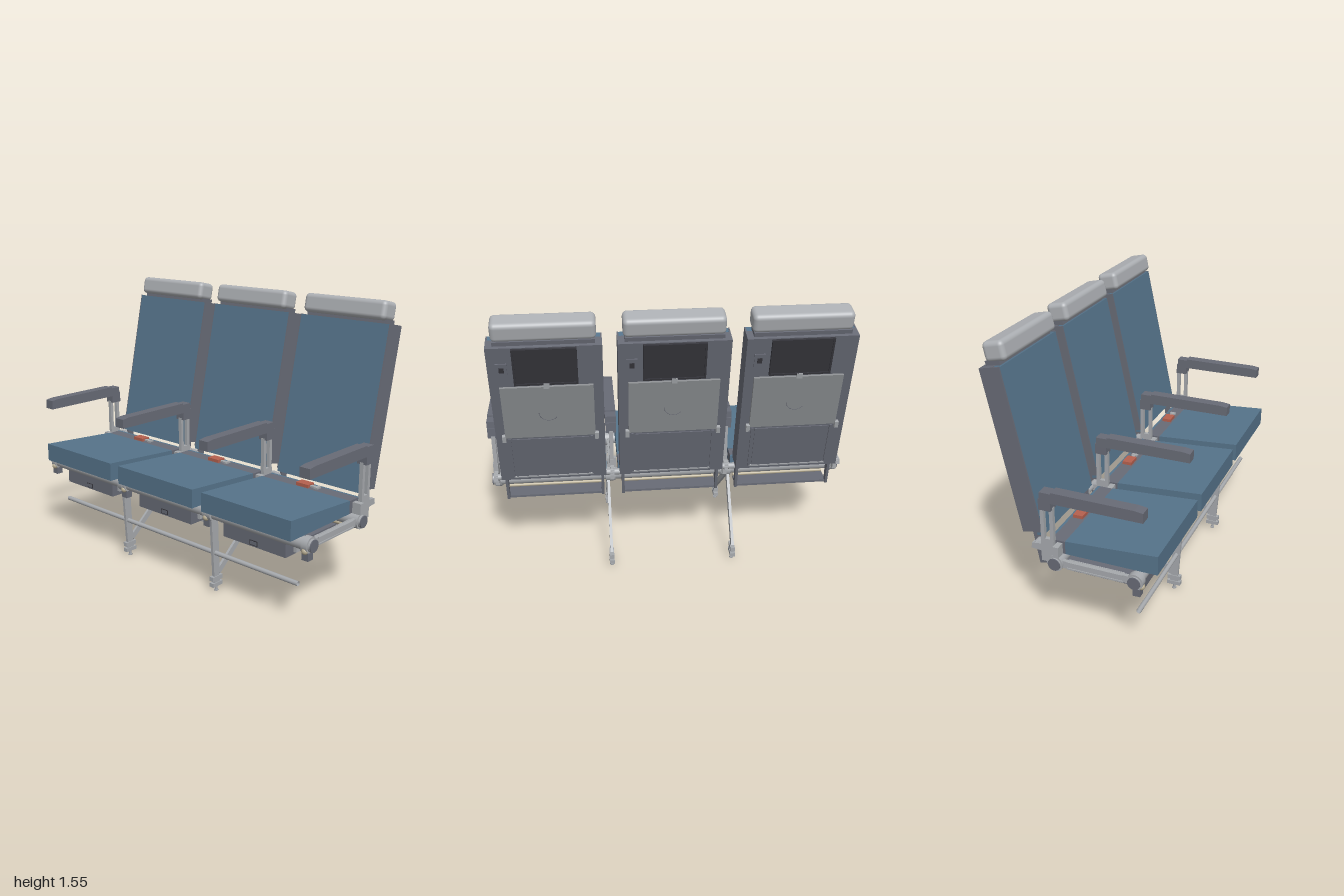
import * as THREE from 'three';
import { RoundedBoxGeometry } from 'three/addons/geometries/RoundedBoxGeometry.js';

const mat = (name, color, side = THREE.FrontSide) => {
  const m = new THREE.MeshStandardMaterial({ color, side });
  m.name = name;
  return m;
};

export function createModel() {
  const blue = mat('blue upholstery', 0x56748b);
  const shell = mat('slate plastic', 0x686b76);
  const metal = mat('light metal', 0xa6a9ad, THREE.DoubleSide);
  const pale = mat('headrest grey', 0xadb0b4);
  const trayGrey = mat('tray grey', 0x8c8f92);
  const dark = mat('dark screen', 0x36363c);
  const red = mat('red buckle', 0xb5604e);
  const beige = mat('beige rod', 0xb8ae94);

  const model = new THREE.Group();
  model.name = 'tripleSeat';

  const add = (parent, name, geo, m, x = 0, y = 0, z = 0) => {
    const mesh = new THREE.Mesh(geo, m);
    mesh.name = name;
    mesh.position.set(x, y, z);
    parent.add(mesh);
    return mesh;
  };
  const box = (p, name, m, w, h, d, x, y, z) => add(p, name, new THREE.BoxGeometry(w, h, d), m, x, y, z);
  // cylinder lying along x
  const rod = (p, name, m, r, len, x, y, z, open = false) =>
    add(p, name, new THREE.CylinderGeometry(r, r, len, 24, 1, open).rotateZ(Math.PI / 2), m, x, y, z);
  // side profile of [z, y] points, extruded across x; holes are [z, y, radius]
  const profile = (p, name, m, pts, width, x, holes = []) => {
    const s = new THREE.Shape(pts.map(([z, y]) => new THREE.Vector2(z, y)));
    for (const [z, y, r] of holes) s.holes.push(new THREE.Path().absarc(z, y, r, 0, Math.PI * 2, true));
    const g = new THREE.ExtrudeGeometry(s, { depth: width, bevelEnabled: false, curveSegments: 10 });
    return add(p, name, g.translate(0, 0, -width / 2).rotateY(-Math.PI / 2), m, x);
  };
  // flat bar between two [z, y] points
  const strut = (p, name, m, a, b, w, t, x) => {
    const dz = b[0] - a[0], dy = b[1] - a[1];
    const s = box(p, name, m, t, Math.hypot(dz, dy), w, x, (a[1] + b[1]) / 2, (a[0] + b[0]) / 2);
    s.rotation.x = Math.atan2(dz, dy);
    return s;
  };

  // reclined backrest with headrest, screen and folded tray
  function backrest(seat) {
    const b = new THREE.Group();
    b.name = 'backrest';
    b.position.set(0, 0.565, -0.155);
    b.rotation.x = -0.21;
    seat.add(b);
    box(b, 'backCushion', blue, 0.555, 0.885, 0.04, 0, 0.4425, -0.02);
    box(b, 'backShell', shell, 0.57, 0.865, 0.074, 0, 0.455, -0.077);
    for (const s of [-1, 1]) {
      box(b, 'shellEdge', shell, 0.008, 0.87, 0.04, s * 0.281, 0.452, -0.022);
      box(b, 'trayHinge', metal, 0.02, 0.04, 0.025, s * 0.242, 0.325, -0.122);
      box(b, 'pocketRib', shell, 0.012, 0.27, 0.008, s * 0.215, 0.18, -0.117);
    }
    box(b, 'headrestNeck', shell, 0.5, 0.04, 0.08, 0, 0.89, -0.055);
    add(b, 'headrest', new RoundedBoxGeometry(0.515, 0.102, 0.118, 4, 0.025), pale, 0, 0.952, -0.033);
    box(b, 'screenBezel', dark, 0.32, 0.215, 0.012, 0, 0.775, -0.117);
    for (const s of [-1, 1]) {
      box(b, 'screenRim', dark, 0.01, 0.215, 0.006, s * 0.155, 0.775, -0.125);
      box(b, 'screenRim', dark, 0.32, 0.01, 0.006, 0, 0.775 + s * 0.1025, -0.125);
    }
    box(b, 'socketPanel', shell, 0.055, 0.075, 0.008, 0.215, 0.76, -0.116);
    box(b, 'socket', dark, 0.025, 0.03, 0.006, 0.215, 0.76, -0.119);
    box(b, 'trayTable', trayGrey, 0.47, 0.325, 0.014, 0, 0.492, -0.12);
    const arc = new THREE.TorusGeometry(0.05, 0.0015, 4, 20, Math.PI * 0.8);
    add(b, 'cupRing', arc, shell, 0, 0.49, -0.127).rotation.z = Math.PI * 1.2;
    box(b, 'trayLatch', metal, 0.03, 0.03, 0.02, 0, 0.662, -0.122);
    box(b, 'pocketPanel', shell, 0.4, 0.26, 0.006, 0, 0.18, -0.116);
    box(b, 'pocketHem', metal, 0.43, 0.008, 0.008, 0, 0.045, -0.117);
  }

  // one passenger place
  function seat(x) {
    const g = new THREE.Group();
    g.name = 'seat';
    g.position.x = x;
    model.add(g);
    backrest(g);
    profile(g, 'seatCushion', blue, [[0.455, 0.49], [0.455, 0.594], [-0.035, 0.562], [-0.035, 0.49]], 0.58, 0);
    box(g, 'cushionRearFrame', shell, 0.58, 0.07, 0.075, 0, 0.525, -0.0725);
    box(g, 'cushionRearEdge', blue, 0.58, 0.07, 0.014, 0, 0.525, -0.117);

    // seat belt buckle and tongue
    box(g, 'buckle', red, 0.08, 0.018, 0.055, -0.025, 0.569, -0.075);
    box(g, 'buckleTongue', metal, 0.035, 0.008, 0.02, 0.03, 0.567, -0.075);
    box(g, 'tongueEnd', metal, 0.022, 0.01, 0.036, 0.057, 0.567, -0.075);

    // lower back supports and rear shelf
    for (const s of [-1, 1]) {
      profile(g, 'lowerBackStrut', shell,
        [[-0.175, 0.59], [-0.225, 0.59], [-0.19, 0.39], [-0.165, 0.395]], 0.015, s * 0.265);
      rod(g, 'reclinePivot', metal, 0.018, 0.06, s * 0.295, 0.53, -0.18);
      box(g, 'vestRail', beige, 0.016, 0.018, 0.26, s * 0.235, 0.403, 0.135);
      box(g, 'vestRailSupport', metal, 0.012, 0.02, 0.4, s * 0.255, 0.415, 0.14);
    }
    box(g, 'rearShelf', shell, 0.53, 0.012, 0.1, 0, 0.398, -0.13);
    rod(g, 'shelfRod', beige, 0.01, 0.53, 0, 0.41, -0.075);

    // under-seat box
    box(g, 'underSeatBox', shell, 0.41, 0.055, 0.43, -0.015, 0.3725, 0.145);
    box(g, 'underSeatBoxFront', shell, 0.41, 0.08, 0.03, -0.015, 0.385, 0.345);
    box(g, 'boxHandle', dark, 0.05, 0.027, 0.004, -0.015, 0.366, 0.361);
    box(g, 'boxHandleInset', shell, 0.042, 0.019, 0.004, -0.015, 0.366, 0.3625);
    box(g, 'reclineLever', metal, 0.018, 0.025, 0.03, 0.25, 0.408, 0.35);
  }

  // armrest, its posts, side plate and spreader rail
  function armrest(x) {
    const g = new THREE.Group();
    g.name = 'armrest';
    g.position.x = x;
    model.add(g);
    profile(g, 'armPad', shell, [[0.405, 0.80], [0.405, 0.852], [0.36, 0.858], [-0.07, 0.86],
      [-0.07, 0.852], [-0.132, 0.852], [-0.132, 0.80]], 0.06, 0);
    box(g, 'armHinge', shell, 0.058, 0.06, 0.065, 0, 0.785, -0.107);
    for (const z of [-0.083, -0.133]) box(g, 'armPost', metal, 0.022, 0.19, 0.02, 0, 0.67, z);
    profile(g, 'sidePlate', metal, [[-0.075, 0.455], [-0.075, 0.585], [-0.145, 0.585], [-0.145, 0.55],
      [-0.195, 0.545], [-0.2, 0.515], [-0.145, 0.51], [-0.145, 0.455]], 0.022, 0);
    box(g, 'hingeTab', metal, 0.05, 0.06, 0.03, 0, 0.525, -0.06);
    box(g, 'spreaderRail', metal, 0.02, 0.04, 0.42, 0, 0.456, 0.143);
    for (const s of [-1, 1]) {
      box(g, 'railLipUpper', metal, 0.006, 0.008, 0.3, s * 0.012, 0.473, 0.143);
      box(g, 'railLipLower', metal, 0.006, 0.008, 0.3, s * 0.012, 0.44, 0.143);
    }
    for (const z of [0.355, -0.07]) rod(g, 'tubeCollar', metal, 0.043, 0.035, 0, 0.455, z);
    box(g, 'footLeverMount', shell, 0.04, 0.04, 0.04, 0, 0.4, 0.365);
    add(g, 'leverKnob', new THREE.SphereGeometry(0.018, 16, 10), beige, 0, 0.43, 0.385);
  }

  // front and rear leg, brace and floor fittings
  function leg(x) {
    const g = new THREE.Group();
    g.name = 'leg';
    g.position.x = x;
    model.add(g);
    profile(g, 'frontLeg', metal, [[0.375, 0.43], [0.325, 0.43], [0.31, 0.085], [0.352, 0.085]],
      0.016, 0, [[0.341, 0.223, 0.013]]);
    strut(g, 'rearLeg', metal, [-0.07, 0.45], [-0.335, 0.09], 0.04, 0.016, 0);
    strut(g, 'diagonalBrace', metal, [0.315, 0.105], [-0.055, 0.42], 0.034, 0.014, 0);
    for (const z of [0.355, -0.07]) rod(g, 'legClamp', metal, 0.045, 0.03, 0, 0.455, z);
    for (const z of [0.33, -0.325]) {
      box(g, 'footPlate', metal, 0.026, 0.024, 0.075, 0, 0.075, z);
      box(g, 'footNeck', metal, 0.018, 0.025, 0.045, 0, 0.055, z);
      box(g, 'footClamp', metal, 0.028, 0.022, 0.075, 0, 0.04, z);
      add(g, 'footStud', new THREE.CylinderGeometry(0.007, 0.007, 0.03, 12), metal, 0, 0.017, z);
      add(g, 'footStudHead', new THREE.CylinderGeometry(0.012, 0.012, 0.006, 12), metal, 0, 0.003, z);
    }
  }

  for (let i = 0; i < 3; i++) seat(-0.648 + 0.645 * i);
  for (let i = 0; i < 4; i++) armrest(-0.97 + 0.6455 * i);
  for (const x of [-0.35, 0.343]) leg(x);

  // cross tubes with dark end plugs, and the baggage bar
  for (const z of [0.355, -0.07]) {
    rod(model, 'crossTube', metal, 0.034, 1.99, 0, 0.455, z);
    for (const s of [-1, 1]) rod(model, 'tubePlug', shell, 0.033, 0.006, s * 0.997, 0.455, z);
  }
  rod(model, 'baggageBar', metal, 0.0125, 1.8, 0, 0.223, 0.341, true);

  return model;
}
